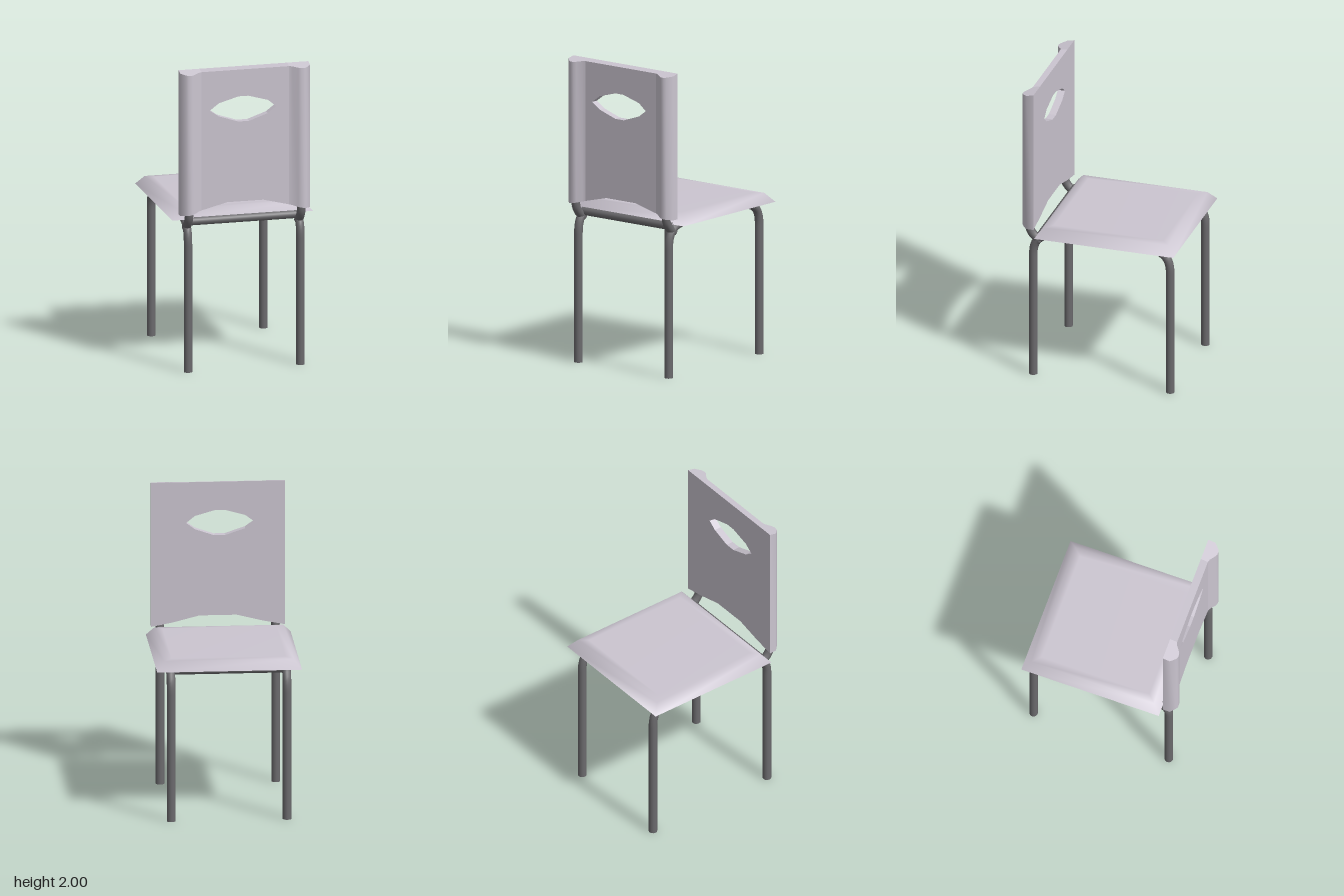
import * as THREE from 'three';
import { toCreasedNormals } from 'three/addons/utils/BufferGeometryUtils.js';

const shell = new THREE.MeshStandardMaterial({ color: 0xcbc5d0 });
shell.name = 'pale lilac grey';
const metal = new THREE.MeshStandardMaterial({ color: 0x6b6a6d });
metal.name = 'dark grey metal';

const TUBE = 0.028;
const LEG_X = 0.372;

function add(group, name, geometry, material) {
  const mesh = new THREE.Mesh(geometry, material);
  mesh.name = name;
  group.add(mesh);
  return mesh;
}

// Round tube through points, closed by a disc at each end
function addTube(group, name, points, segments) {
  const part = new THREE.Group();
  part.name = name;
  const path = new THREE.CurvePath();
  const pts = points.map((p) => new THREE.Vector3(...p));
  // straight runs joined by quadratic bends at the inner points
  let from = pts[0];
  for (let i = 1; i < pts.length - 1; i++) {
    const bend = 0.085;
    const before = Math.min(bend, pts[i].distanceTo(pts[i - 1]) * 0.45);
    const after = Math.min(bend, pts[i].distanceTo(pts[i + 1]) * 0.45);
    const a = pts[i].clone().add(pts[i - 1].clone().sub(pts[i]).setLength(before));
    const b = pts[i].clone().add(pts[i + 1].clone().sub(pts[i]).setLength(after));
    path.add(new THREE.LineCurve3(from, a));
    path.add(new THREE.QuadraticBezierCurve3(a, pts[i], b));
    from = b;
  }
  path.add(new THREE.LineCurve3(from, pts[pts.length - 1]));
  add(part, name + 'Tube', new THREE.TubeGeometry(path, segments, TUBE, 12), metal);
  for (const t of [0, 1]) {
    const cap = add(part, name + 'Cap', new THREE.CircleGeometry(TUBE, 12), metal);
    const out = path.getTangent(t).multiplyScalar(t ? 1 : -1);
    cap.position.copy(path.getPoint(t));
    cap.quaternion.setFromUnitVectors(new THREE.Vector3(0, 0, 1), out);
  }
  group.add(part);
}

// Cushion built from nested square loops with mitred corners
function seatGeometry() {
  const loops = [[0, 1.0], [0.05, 1.06], [0.1, 1.065]];
  const pos = [];
  const index = [];
  for (const [inset, y] of loops) {
    const x = 0.465 - inset, z0 = -0.52 + inset, z1 = 0.415 - inset;
    pos.push(-x, y, z1, x, y, z1, x, y, z0, -x, y, z0);
  }
  for (let l = 0; l < loops.length - 1; l++) {
    for (let i = 0; i < 4; i++) {
      const a = l * 4 + i, b = l * 4 + (i + 1) % 4;
      index.push(a, b, b + 4, a, b + 4, a + 4);
    }
  }
  const t = (loops.length - 1) * 4;
  index.push(t, t + 1, t + 2, t, t + 2, t + 3);
  const g = new THREE.BufferGeometry();
  g.setAttribute('position', new THREE.Float32BufferAttribute(pos, 3));
  g.setIndex(index);
  g.computeVertexNormals();
  return g;
}

// Height of the backrest's arched lower edge and sloping upper edge
function lowerEdge(x) {
  const ax = Math.abs(x);
  if (ax <= 0.12) return 1.115;
  if (ax <= 0.35) return 1.115 - (ax - 0.12) / 0.23 * 0.058;
  return 1.057 - (ax - 0.35) / 0.08 * 0.012;
}
const upperEdge = (z) => 2.0 - (z - 0.43) / 0.09 * 0.02;

function trimTop(geometry) {
  const p = geometry.attributes.position;
  for (let i = 0; i < p.count; i++) {
    if (p.getY(i) > 1.95) p.setY(i, upperEdge(p.getZ(i)));
  }
  return geometry;
}

// Flat middle of the backrest with the handle opening
function backPanelGeometry() {
  const w = 0.29;
  const shape = new THREE.Shape();
  shape.moveTo(-w, 2);
  for (const x of [-w, -0.12, 0.12, w]) shape.lineTo(x, lowerEdge(x));
  shape.lineTo(w, 2);
  shape.closePath();
  const rim = [[-0.235, 1.73], [-0.175, 1.775], [-0.045, 1.812], [0.02, 1.812],
    [0.15, 1.775], [0.205, 1.73], [0.15, 1.688], [0.025, 1.645], [-0.045, 1.645], [-0.175, 1.688]];
  shape.holes.push(new THREE.Path(rim.map(([x, y]) => new THREE.Vector2(x, y))));
  const g = new THREE.ExtrudeGeometry(shape, { depth: 0.048, bevelEnabled: false });
  g.translate(0, 0, 0.43);
  return trimTop(g);
}

// Thickened side of the backrest, extruded upwards
function backEdgeGeometry(side) {
  const section = [[0.29, 0.43], [0.43, 0.43], [0.43, 0.478], [0.4, 0.508], [0.385, 0.517],
    [0.36, 0.517], [0.343, 0.508], [0.31, 0.484], [0.29, 0.478]];
  const shape = new THREE.Shape(section.map(([x, z]) => new THREE.Vector2(side * x, -z)));
  const g = new THREE.ExtrudeGeometry(shape, { depth: 1, bevelEnabled: false });
  g.rotateX(-Math.PI / 2);
  const p = g.attributes.position;
  for (let i = 0; i < p.count; i++) {
    p.setY(i, p.getY(i) > 0.5 ? 2 : lowerEdge(p.getX(i)));
  }
  return toCreasedNormals(trimTop(g), 0.9);
}

export function createModel() {
  const chair = new THREE.Group();
  chair.name = 'chair';

  // Seat cushion and its underside
  const seat = new THREE.Group();
  seat.name = 'seat';
  add(seat, 'seatCushion', seatGeometry(), shell);
  const rim = add(seat, 'seatUnderside', new THREE.PlaneGeometry(0.93, 0.935), shell);
  rim.rotation.x = Math.PI / 2;
  rim.position.set(0, 1.0, -0.0525);
  const board = add(seat, 'seatBoard', new THREE.BoxGeometry(0.78, 0.009, 0.82), metal);
  board.position.set(0, 0.997, -0.03);
  chair.add(seat);

  // Backrest
  const back = new THREE.Group();
  back.name = 'backrest';
  add(back, 'backPanel', backPanelGeometry(), shell);
  add(back, 'backEdgeLeft', backEdgeGeometry(1), shell);
  add(back, 'backEdgeRight', backEdgeGeometry(-1), shell);
  chair.add(back);

  // Tube frame: a bent leg loop and a backrest support on each side
  const frame = new THREE.Group();
  frame.name = 'frame';
  for (const [side, label] of [[1, 'Left'], [-1, 'Right']]) {
    const x = side * LEG_X;
    addTube(frame, 'legLoop' + label, [
      [x, 0, 0.45], [x, 0.93, 0.45], [x, 1.0, 0.365],
      [x, 1.0, -0.385], [x, 0.93, -0.47], [x, 0, -0.47]], 120);
    addTube(frame, 'backSupport' + label, [
      [x, 0.945, 0.4], [x, 0.985, 0.45], [x, 1.03, 0.477], [x, 1.1, 0.477]], 24);
  }

  // Cross bars under the seat
  for (const [z, label] of [[0.4, 'Back'], [-0.415, 'Front']]) {
    addTube(frame, 'crossBar' + label, [[-LEG_X, 0.984, z], [LEG_X, 0.984, z]], 1);
  }
  chair.add(frame);
  return chair;
}
